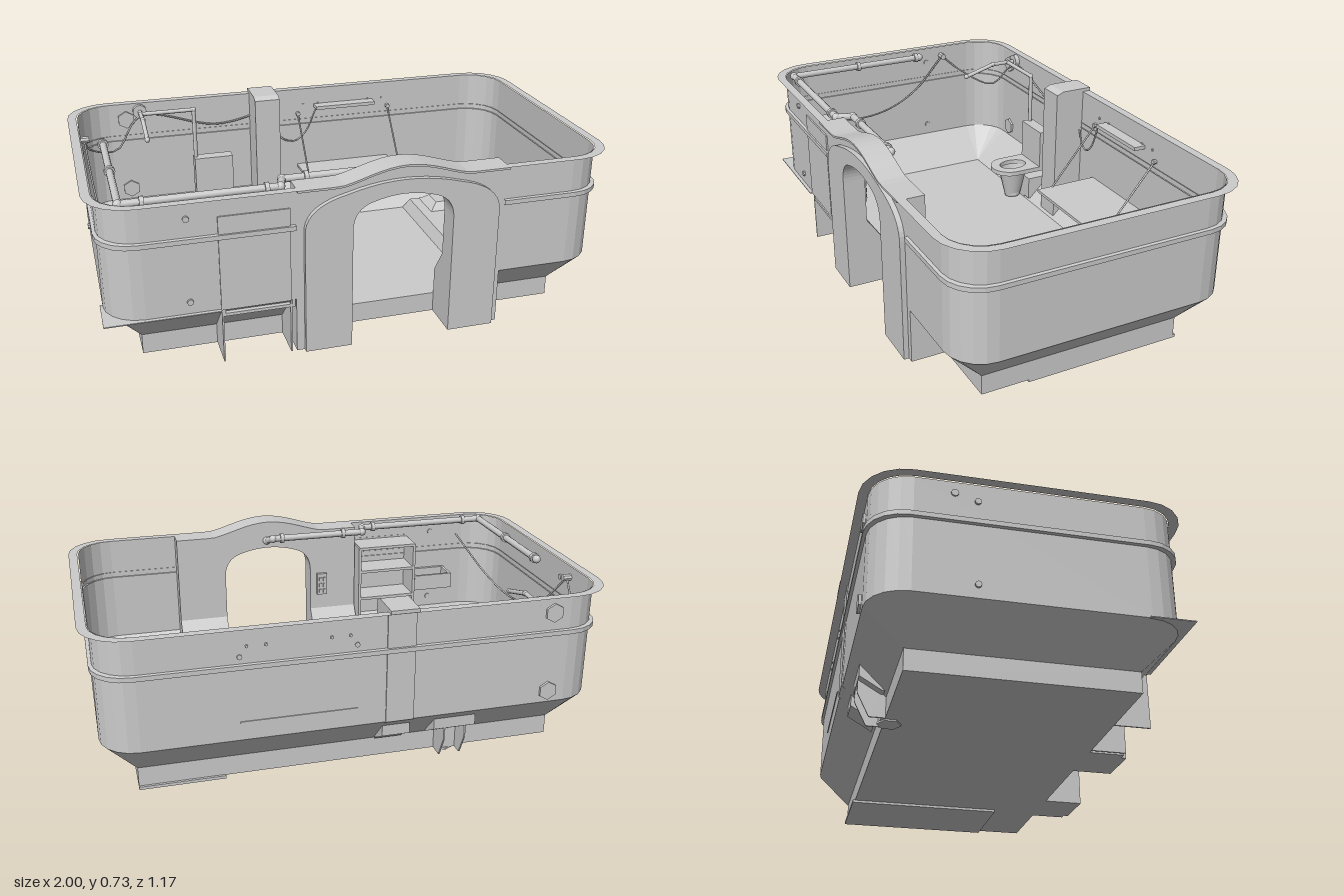
import * as THREE from 'three';

const flat = new THREE.MeshStandardMaterial({ color: 0xcccccc, flatShading: true, side: THREE.DoubleSide });
const smooth = new THREE.MeshStandardMaterial({ color: 0xcccccc, side: THREE.DoubleSide });

export function createModel() {
  const root = new THREE.Group();
  const add = (name, geo, mat = flat) => {
    const m = new THREE.Mesh(geo, mat);
    m.name = name;
    root.add(m);
    return m;
  };
  // Box given by its limits on each axis
  const box = (name, x0, x1, y0, y1, z0, z1) =>
    add(name, new THREE.BoxGeometry(x1 - x0, y1 - y0, z1 - z0)
      .translate((x0 + x1) / 2, (y0 + y1) / 2, (z0 + z1) / 2));
  // Shape in x,y pushed from z0 to z1
  const slab = (name, shape, z0, z1) =>
    add(name, new THREE.ExtrudeGeometry(shape, { depth: z1 - z0, bevelEnabled: false, curveSegments: 10 }).translate(0, 0, z0));
  // Profile of [z, y] points pushed from x0 to x1
  const side = (name, pts, x0, x1) => {
    const s = new THREE.Shape(pts.map(([z, y]) => new THREE.Vector2(-z, y)));
    return add(name, new THREE.ExtrudeGeometry(s, { depth: x1 - x0, bevelEnabled: false }).rotateY(Math.PI / 2).translate(x0, 0, 0));
  };
  const vecs = pts => pts.map(p => new THREE.Vector3(...p));
  const cable = (name, pts, r = 0.004) =>
    add(name, new THREE.TubeGeometry(new THREE.CatmullRomCurve3(vecs(pts)), 28, r, 6), smooth);
  // Straight pipe runs with ball elbows
  const pipe = (name, pts, r) => {
    const v = vecs(pts);
    v.forEach((p, i) => {
      add(name + 'Elbow', new THREE.SphereGeometry(r * 1.25, 10, 8).translate(p.x, p.y, p.z), smooth);
      if (i) add(name, new THREE.TubeGeometry(new THREE.LineCurve3(v[i - 1], p), 1, r, 10), smooth);
    });
  };
  const disc = (name, r, d, sides, x, y, z, axis = 'z') => {
    const g = new THREE.CylinderGeometry(r, r, d, sides);
    if (axis === 'z') g.rotateX(Math.PI / 2);
    if (axis === 'x') g.rotateZ(Math.PI / 2);
    return add(name, g.translate(x, y, z));
  };

  // Rounded plan outline, open at the front between the door frame edges
  const doorL = -0.27, doorR = 0.54;
  const outline = (w, d, r, y) => {
    const p = [[doorR, y, d]];
    [[1, 1], [1, -1], [-1, -1], [-1, 1]].forEach(([sx, sz], c) => {
      for (let i = 0; i <= 5; i++) {
        const a = Math.PI / 2 - (c + i / 5) * Math.PI / 2;
        p.push([sx * (w - r) + r * Math.cos(a), y, sz * (d - r) + r * Math.sin(a)]);
      }
    });
    p.push([doorL, y, d]);
    return p;
  };
  // Skin between successive outlines
  const loft = (name, rows) => {
    const n = rows[0].length, index = [];
    for (let j = 0; j < rows.length - 1; j++)
      for (let i = 0; i < n - 1; i++) {
        const a = j * n + i, b = a + n;
        index.push(a, a + 1, b, a + 1, b + 1, b);
      }
    const g = new THREE.BufferGeometry();
    g.setAttribute('position', new THREE.Float32BufferAttribute(rows.flat(2), 3));
    g.setIndex(index);
    g.computeVertexNormals();
    return add(name, g);
  };
  loft('tubWall', [outline(0.83, 0.41, 0, 0.09), outline(0.96, 0.55, 0.14, 0.23), outline(0.96, 0.55, 0.14, 0.675)]);
  loft('topRim', [outline(0.965, 0.55, 0.14, 0.675), outline(1.0, 0.585, 0.17, 0.675)]);
  loft('wallBand', [[0.955, 0.51], [0.972, 0.513], [0.972, 0.531], [0.955, 0.534]]
    .map(([w, y]) => outline(w, w - 0.41, 0.14, y)));
  box('floorBase', -0.83, 0.83, 0.01, 0.09, -0.41, 0.41);

  // Door frame: arched opening cut up from the ground
  const opening = s => {
    s.lineTo(0.33, 0.01); s.lineTo(0.33, 0.49);
    s.quadraticCurveTo(0.33, 0.575, 0.25, 0.595);
    s.quadraticCurveTo(0.135, 0.63, 0.02, 0.595);
    s.quadraticCurveTo(-0.06, 0.575, -0.06, 0.49);
    s.lineTo(-0.06, 0.01);
    return s;
  };
  const bump = x => 0.675 + 0.055 * Math.max(0, Math.cos((x - 0.135) / 0.25 * Math.PI / 2)) ** 1.4;
  const crest = Array.from({ length: 25 }, (_, i) => doorL + (doorR - doorL) * i / 24);
  const frame = new THREE.Shape();
  frame.moveTo(doorL, 0.01);
  crest.forEach(x => frame.lineTo(x, bump(x) - 0.006));
  frame.lineTo(doorR, 0.01);
  slab('doorFrame', opening(frame), 0.48, 0.55);

  const face = new THREE.Shape();
  face.moveTo(-0.24, 0.01);
  face.lineTo(-0.24, 0.5);
  face.quadraticCurveTo(-0.24, 0.6, -0.08, 0.635);
  face.quadraticCurveTo(0.135, 0.7, 0.355, 0.635);
  face.quadraticCurveTo(0.515, 0.6, 0.515, 0.5);
  face.lineTo(0.515, 0.01);
  slab('doorSurround', opening(face), 0.55, 0.57);

  const cap = new THREE.Shape();
  crest.forEach((x, i) => (i ? cap.lineTo(x, bump(x)) : cap.moveTo(x, bump(x))));
  [...crest].reverse().forEach(x => cap.lineTo(x, bump(x) - 0.008));
  slab('doorCap', cap, 0.48, 0.585);
  for (const [a, b] of [[doorL, -0.06], [0.33, doorR]])
    side('doorJambFoot', [[0.55, 0.01], [0.55, 0.3], [0.48, 0.3], [0.41, 0.2], [0.41, 0.01]], a, b);

  // Rear post with its cap
  side('rearPost', [[-0.42, 0.09], [-0.42, 0.678], [-0.555, 0.678], [-0.555, 0.23], [-0.515, 0.2], [-0.515, 0.15], [-0.43, 0.1]], -0.2, -0.09);
  side('rearPostCap', [[-0.42, 0.676], [-0.45, 0.69], [-0.585, 0.69], [-0.585, 0.676]], -0.2, -0.09);

  // Front-left hatch, support fins and ledge
  box('frontHatch', -0.55, -0.29, 0.23, 0.6, 0.548, 0.556);
  for (const x of [-0.545, -0.29])
    side('supportFin', [[0.4, 0.01], [0.55, 0.01], [0.55, 0.24], [0.4, 0.09]], x - 0.003, x + 0.003);
  box('cornerLedge', -0.97, -0.55, 0.228, 0.232, 0.4, 0.565);

  // Wall plugs and rear vents
  for (const y of [0.605, 0.28]) {
    disc('rearVent', 0.038, 0.02, 6, -0.75, y, -0.55);
    disc('sidePlug', 0.012, 0.014, 8, -0.961, y, -0.19, 'x');
    disc('frontPlug', 0.012, 0.014, 8, -0.66, y, 0.552);
  }
  for (const x of [0.05, 0.12, 0.36, 0.43]) disc('rearPlug', 0.006, 0.012, 6, x, 0.6, -0.552);
  box('rearSeam', 0.02, 0.46, 0.3, 0.305, -0.554, -0.545);

  // Toilet with outside chute
  const seat = new THREE.Shape();
  seat.moveTo(-0.47, 0.52); seat.lineTo(-0.47, 0.35);
  seat.absarc(-0.385, 0.35, 0.085, Math.PI, Math.PI * 2, false);
  seat.lineTo(-0.3, 0.52);
  const hole = new THREE.Path();
  hole.absellipse(-0.385, 0.37, 0.046, 0.064, 0, Math.PI * 2, true);
  seat.holes.push(hole);
  add('toiletSeat', new THREE.ExtrudeGeometry(seat, { depth: 0.02, bevelEnabled: false }).rotateX(-Math.PI / 2).translate(0, 0.23, 0));
  add('toiletBowl', new THREE.CylinderGeometry(0.058, 0.03, 0.14, 16, 1, true).scale(1, 1, 1.2).translate(-0.385, 0.165, -0.37), smooth);
  disc('toiletDrain', 0.035, 0.01, 16, -0.385, 0.11, -0.37, 'y');
  box('toiletTank', -0.47, -0.3, 0.25, 0.42, -0.52, -0.465);
  side('chuteHood', [[-0.41, 0.1], [-0.41, 0.2], [-0.515, 0.2], [-0.515, 0.15], [-0.43, 0.1]], -0.47, -0.3);
  for (const x of [-0.43, -0.345])
    side('chuteFin', [[-0.41, 0.01], [-0.41, 0.16], [-0.515, 0.16], [-0.515, 0.1], [-0.47, 0.01]], x - 0.003, x + 0.003);
  box('chuteBack', -0.43, -0.345, 0.01, 0.12, -0.425, -0.41);
  disc('chuteOutlet', 0.045, 0.008, 6, -0.385, 0.008, -0.39, 'y');

  // Bed with pillow, and the panel beneath it
  const taper = (name, x0, x1, y0, y1, z0, z1, inset) => {
    const g = new THREE.BoxGeometry(x1 - x0, y1 - y0, z1 - z0), p = g.attributes.position;
    for (let i = 0; i < p.count; i++)
      if (p.getY(i) > 0) {
        p.setX(i, p.getX(i) - Math.sign(p.getX(i)) * inset);
        p.setZ(i, p.getZ(i) - Math.sign(p.getZ(i)) * inset);
      }
    return add(name, g.translate((x0 + x1) / 2, (y0 + y1) / 2, (z0 + z1) / 2));
  };
  taper('bed', 0.5, 0.83, 0.09, 0.14, -0.41, 0.21, 0.025);
  taper('pillow', 0.57, 0.76, 0.14, 0.17, -0.38, -0.22, 0.035);
  box('bedUnderPanel', 0.5, 0.83, 0, 0.012, -0.42, 0.22);

  // Folding table hung on cords, shelf above
  box('foldingTable', 0.02, 0.46, 0.3, 0.312, -0.55, -0.27);
  for (const x of [0.024, 0.456]) {
    cable('tableCord', [[x, 0.56, -0.545], [x, 0.31, -0.34]]);
    disc('cordAnchor', 0.01, 0.02, 8, x, 0.56, -0.545);
  }
  box('wallShelf', 0.1, 0.38, 0.585, 0.6, -0.55, -0.5);
  cable('wallCable', [[-0.09, 0.5, -0.54], [-0.05, 0.45, -0.53], [0.0, 0.44, -0.52], [0.05, 0.48, -0.515], [0.1, 0.59, -0.51]]);

  // Open shelf cabinet
  for (const x of [-0.54, -0.28]) box('cabinetSide', x - 0.006, x + 0.006, 0.2, 0.59, 0.42, 0.55);
  for (const y of [0.2, 0.34, 0.47, 0.58]) box('cabinetShelf', -0.54, -0.28, y, y + 0.012, 0.42, 0.55);

  // Wash basin and keypad
  box('basinBack', -0.73, -0.55, 0.36, 0.43, 0.53, 0.545);
  box('basinFront', -0.73, -0.55, 0.36, 0.43, 0.43, 0.442);
  for (const x of [-0.73, -0.562]) box('basinEnd', x, x + 0.012, 0.36, 0.43, 0.43, 0.545);
  box('basinFloor', -0.73, -0.55, 0.36, 0.37, 0.43, 0.545);
  box('keypad', -0.135, -0.09, 0.37, 0.47, 0.465, 0.482);
  for (let i = 0; i < 6; i++)
    box('keypadButton', -0.128 + (i % 2) * 0.018, -0.116 + (i % 2) * 0.018, 0.38 + (i >> 1) * 0.028, 0.397 + (i >> 1) * 0.028, 0.46, 0.466);

  // Water pipe around the left end and front wall
  const py = 0.665;
  pipe('waterPipe', [[-0.88, py, -0.12], [-0.88, py, 0.5], [-0.31, py, 0.5], [-0.29, py, 0.435], [0.12, py, 0.435], [0.14, py - 0.02, 0.48]], 0.014);
  for (const [x, z, axis] of [[-0.88, -0.1, 'z'], [-0.88, 0.19, 'z'], [-0.8, 0.5, 'x'], [-0.36, 0.5, 'x'], [-0.2, 0.435, 'x'], [0.08, 0.435, 'x']])
    disc('pipeClamp', 0.021, 0.016, 12, x, py, z, axis);

  // Shower arm, supply pipe and cords
  disc('showerMount', 0.03, 0.02, 12, -0.69, 0.64, -0.54);
  pipe('showerArm', [[-0.69, 0.64, -0.54], [-0.69, 0.64, -0.42], [-0.69, 0.6, -0.28]], 0.009);
  pipe('supplyPipe', [[-0.69, 0.64, -0.5], [-0.46, 0.64, -0.5], [-0.46, 0.4, -0.5]], 0.009);
  disc('cordHook', 0.014, 0.04, 8, -0.945, 0.63, -0.27, 'x');
  cable('rearCord', [[-0.1, 0.6, -0.545], [-0.35, 0.55, -0.54], [-0.69, 0.62, -0.535], [-0.8, 0.5, -0.47], [-0.92, 0.55, -0.36], [-0.945, 0.63, -0.27]]);
  cable('sideCord', [[-0.945, 0.63, -0.27], [-0.93, 0.47, -0.1], [-0.91, 0.4, 0.1], [-0.88, 0.43, 0.35], [-0.77, 0.6, 0.5]]);
  return root;
}
